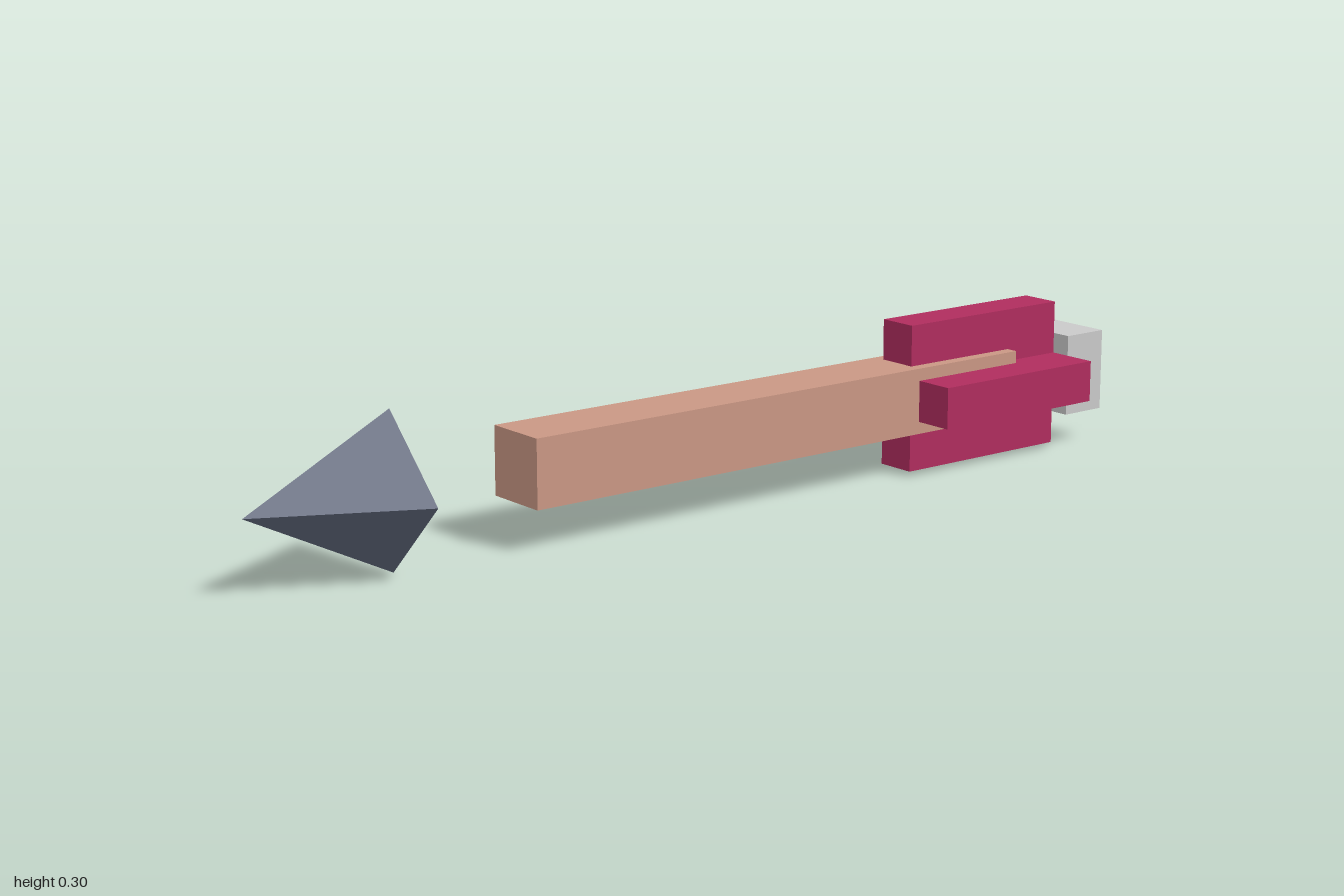
import * as THREE from 'three';

const AXIS_Y = 0.15; // height of the arrow's centre line

export function createModel() {
  const arrow = new THREE.Group();
  arrow.name = 'arrow';

  const material = (name, color) => {
    const m = new THREE.MeshStandardMaterial({ color });
    m.name = name;
    return m;
  };
  const wood = material('wood', 0xc99784);
  const feather = material('crimson feather', 0xb02d5e);
  const pale = material('pale grey', 0xc9c9c9);
  const slate = material('slate', 0x5f677b);
  slate.flatShading = true;

  // Box centred on the arrow's axis, running from z0 to z1
  const bar = (name, width, height, z0, z1, mat) => {
    const mesh = new THREE.Mesh(new THREE.BoxGeometry(width, height, z1 - z0), mat);
    mesh.name = name;
    mesh.position.set(0, AXIS_Y, (z0 + z1) / 2);
    arrow.add(mesh);
  };

  bar('shaft', 0.134, 0.134, -0.767, 0.433, wood);

  // Crossed fletching and the end block
  bar('verticalFletching', 0.084, 0.3, -0.9, -0.5, feather);
  bar('horizontalFletching', 0.3, 0.084, -0.9, -0.5, feather);
  bar('nock', 0.167, 0.167, -1, -0.9, pale);

  // Four-sided pointed head, floating ahead of the shaft
  const head = new THREE.Mesh(new THREE.ConeGeometry(0.15, 0.3, 4), slate);
  head.name = 'arrowHead';
  head.rotation.x = Math.PI / 2;
  head.position.set(0, AXIS_Y, 0.85);
  arrow.add(head);

  return arrow;
}
